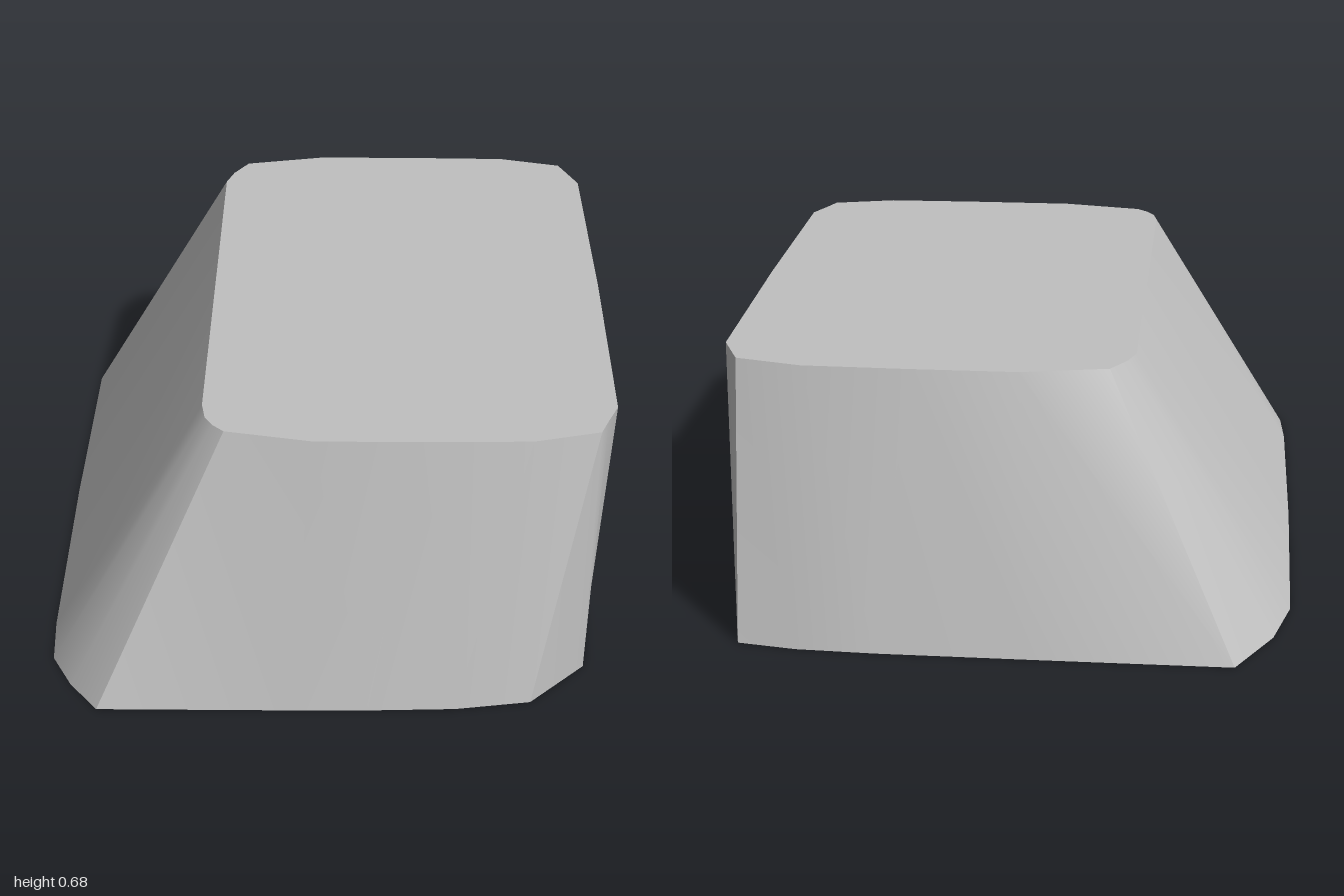
import * as THREE from 'three';
import { toCreasedNormals } from 'three/addons/utils/BufferGeometryUtils.js';

const HEIGHT = 0.68;

// Matching rim points, clockwise from above: [bottom x, bottom z, top x, top z]
const RIM = [
  // left side and back left corner
  [-0.73, 0, -0.32, 0], [-0.725, -0.64, -0.32, -0.64],
  [-0.68, -0.82, -0.3, -0.7], [-0.585, -1, -0.26, -0.765],
  // back
  [-0.1, -1, -0.04, -0.81], [0.3, -0.998, 0.23, -0.81], [0.5, -0.99, 0.5, -0.805],
  // right side with its two corners
  [0.65, -0.965, 0.67, -0.76], [0.675, -0.64, 0.72, -0.64], [0.68, 0, 0.725, 0],
  [0.675, 0.64, 0.72, 0.64], [0.655, 0.81, 0.69, 0.71], [0.51, 0.96, 0.67, 0.76],
  // front
  [0.32, 0.99, 0.5, 0.805], [0.1, 0.998, 0.23, 0.81], [-0.1, 1, -0.04, 0.81],
  // front left corner
  [-0.585, 1, -0.26, 0.765], [-0.66, 0.9, -0.29, 0.735],
  [-0.715, 0.79, -0.31, 0.7], [-0.725, 0.64, -0.32, 0.64],
];

// Builds a geometry from a list of corner points, three per triangle
function fromTriangles(points) {
  const geometry = new THREE.BufferGeometry();
  geometry.setAttribute('position', new THREE.Float32BufferAttribute(points.flat(), 3));
  geometry.computeVertexNormals();
  return geometry;
}

export function createModel() {
  const gray = new THREE.MeshStandardMaterial({ color: 0xc0c0c0 });
  gray.name = 'stone gray';
  const model = new THREE.Group();
  model.name = 'taperedBlock';

  const bottom = RIM.map(([x, z]) => [x, 0, z]);
  const top = RIM.map(([, , x, z]) => [x, HEIGHT, z]);
  const walls = [], topCap = [], bottomCap = [];
  for (let i = 0; i < RIM.length; i++) {
    const j = (i + 1) % RIM.length;
    walls.push(bottom[i], top[i], top[j], bottom[i], top[j], bottom[j]);
    topCap.push([0.2, HEIGHT, 0], top[j], top[i]);
    bottomCap.push([0, 0, 0], bottom[i], bottom[j]);
  }

  const add = (name, geometry) => {
    const mesh = new THREE.Mesh(geometry, gray);
    mesh.name = name;
    model.add(mesh);
  };
  // Sloping walls with soft corners and sharp creases
  add('walls', toCreasedNormals(fromTriangles(walls), THREE.MathUtils.degToRad(32)));
  // Flat faces
  add('topFace', fromTriangles(topCap));
  add('bottomFace', fromTriangles(bottomCap));
  return model;
}
